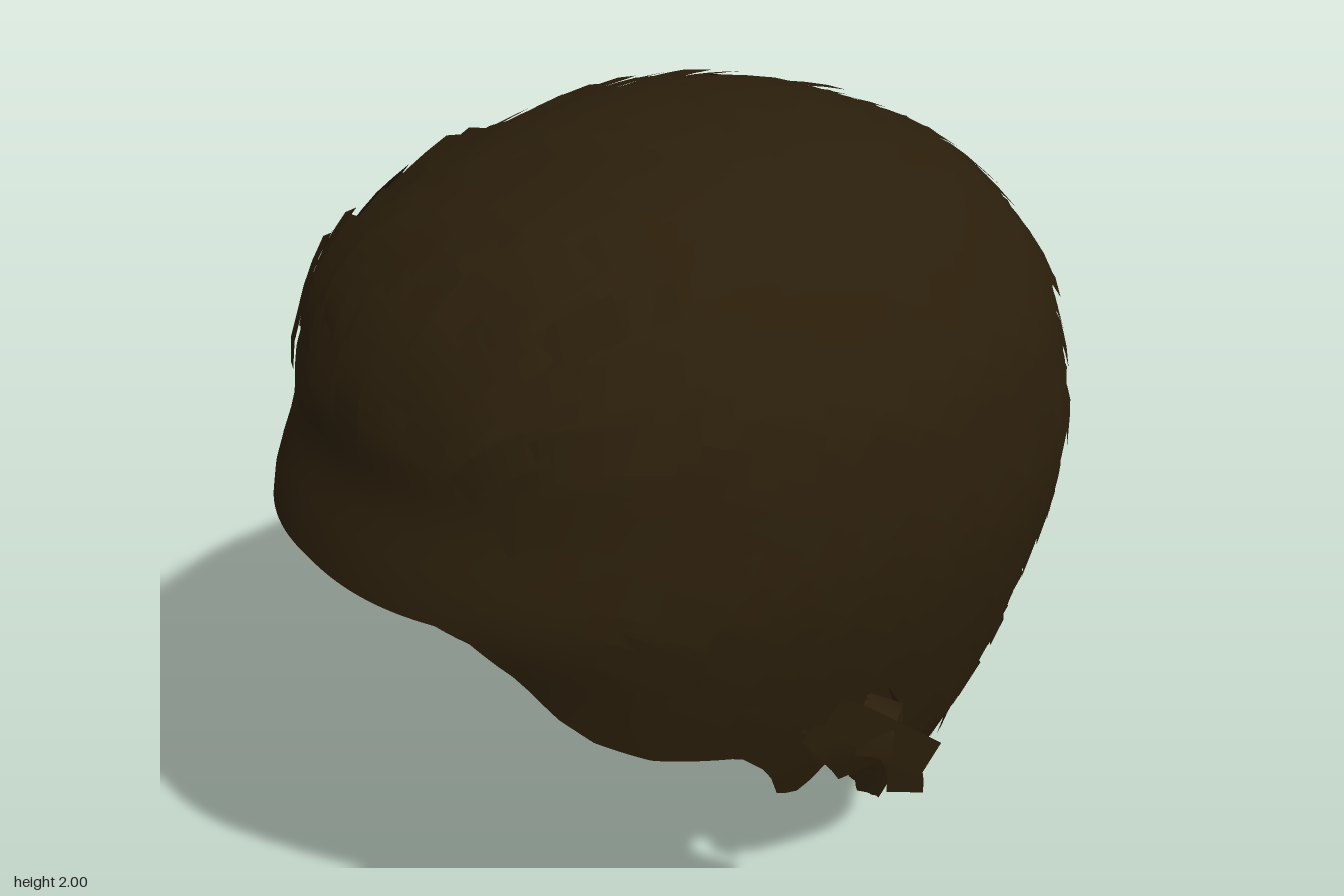
import * as THREE from 'three';
import { mergeGeometries } from 'three/addons/utils/BufferGeometryUtils.js';

const V = (x, y, z) => new THREE.Vector3(x, y, z);
const CENTRE = V(0, 1, 0);
// Squarer sections in front, plain ellipses behind
const power = z => (z > 0 ? 0.9 : 1);

// Horizontal sections of the cap: height, half width, front depth, back depth
const ROWS = [
  [0, 0.38, 0.85, 0.465], [0.2, 0.46, 0.87, 0.57], [0.4, 0.53, 0.89, 0.69], [0.6, 0.615, 0.9, 0.79],
  [0.8, 0.67, 0.91, 0.87], [1.0, 0.715, 0.93, 0.93], [1.2, 0.735, 0.985, 0.955], [1.4, 0.71, 0.915, 0.925],
  [1.55, 0.67, 0.895, 0.86], [1.7, 0.58, 0.82, 0.745], [1.8, 0.5, 0.71, 0.63], [1.88, 0.4, 0.56, 0.48],
  [1.94, 0.28, 0.37, 0.31], [1.97, 0.15, 0.2, 0.16], [1.98, 0, 0, 0],
];
// Lower edge of the cap and of the hair strands: angle from the front, height
const RIM = [[0, 1.21], [0.47, 1.2], [0.57, 1.17], [0.66, 1.09], [0.74, 0.98], [0.85, 0.9], [1.01, 0.83],
  [1.25, 0.78], [1.34, 0.7], [1.38, 0.61], [1.44, 0.58], [1.5, 0.63], [1.55, 0.78], [1.6, 0.78],
  [1.64, 0.52], [1.72, 0.42], [1.9, 0.32], [2.14, 0.2], [2.45, 0.09], [2.65, 0.045], [2.85, 0.018], [3.15, 0.005]];
const HAIRLINE = [[0, 1.5], [0.5, 1.46], [0.75, 1.26], [1.0, 1.04], [1.25, 0.92], [1.45, 0.85],
  [1.6, 0.8], [1.68, 0.52], [1.9, 0.42], [2.2, 0.32], [2.6, 0.23], [3.15, 0.2]];

function lookup(table, a) {
  let i = 1;
  while (i < table.length - 1 && table[i][0] < a) i++;
  const [p, q] = [table[i - 1], table[i]];
  const f = (a - p[0]) / (q[0] - p[0]);
  return p.map((v, j) => v + (q[j] - v) * f);
}

// Smooth the sections with splines
const curveA = new THREE.SplineCurve(ROWS.map(r => new THREE.Vector2(r[0], r[1])));
const curveB = new THREE.SplineCurve(ROWS.map(r => new THREE.Vector2(r[2], r[3])));
const section = t => {
  const a = curveA.getPoint(t), b = curveB.getPoint(t);
  return [a.x, a.y, b.x, b.y, t];
};
const FINE = Array.from({ length: 301 }, (_, i) => section(i / 300));

// Point on the cap at an angle from the front
function capPoint(angle, t) {
  const [y, w, front, back] = section(t);
  const s = Math.sin(angle), c = Math.cos(angle), e = power(c);
  return V(Math.sign(s) * w * Math.abs(s) ** e, y, Math.sign(c) * (c > 0 ? front : back) * Math.abs(c) ** e);
}

// Push a point onto the cap along the ray from its centre
function project(p, lift = 0) {
  const dir = p.clone().sub(CENTRE).normalize(), e = 2 / power(dir.z);
  let lo = 0.2, hi = 1.6;
  for (let i = 0; i < 18; i++) {
    const r = (lo + hi) / 2, y = 1 + dir.y * r;
    let inside = false;
    if (y > 0 && y < 1.98) {
      const [, w, f, b] = lookup(FINE, y);
      inside = Math.abs(dir.x * r / w) ** e + Math.abs(dir.z * r / (dir.z > 0 ? f : b)) ** e < 1;
    }
    if (inside) lo = r; else hi = r;
  }
  return dir.multiplyScalar(lo + lift).add(CENTRE);
}

function aboveHairline(p) {
  const [, w, f, b] = lookup(FINE, p.y), e = 1 / power(p.z);
  const x = Math.abs(p.x / w) ** e, z = Math.abs(p.z / (p.z > 0 ? f : b)) ** e;
  return p.y > lookup(HAIRLINE, Math.atan2(x, Math.sign(p.z) * z))[1];
}

function normalAt(p) {
  const out = p.clone().sub(CENTRE).normalize();
  const u = V(0, 1, 0).cross(out);
  if (u.length() < 0.01) return V(0, 1, 0);
  u.normalize();
  const v = out.clone().cross(u);
  const near = (d, e) => project(p.clone().addScaledVector(d, e));
  return near(u, 0.02).sub(near(u, -0.02)).cross(near(v, 0.02).sub(near(v, -0.02))).normalize();
}

// Combing direction: straight back over the middle, slanting down at the sides
function flowAt(n) {
  const slant = 2 * n.x * n.x;
  return V(0, n.z - 0.7 * slant, -n.y - slant).projectOnPlane(n).normalize();
}

// Surface through rows of points; loop joins the last column to the first
function gridSurface(rows, loop = false) {
  const n = rows[0].length, index = [];
  for (let j = 0; j < rows.length - 1; j++) {
    for (let i = 0; i < (loop ? n : n - 1); i++) {
      const a = j * n + i, b = j * n + (i + 1) % n;
      index.push(a, b, b + n, a, b + n, a + n);
    }
  }
  const g = new THREE.BufferGeometry().setFromPoints(rows.flat());
  g.setIndex(index);
  g.computeVertexNormals();
  return g;
}

function buildCap() {
  const SEG = 200, RINGS = 30, rows = [];
  for (let j = 0; j <= RINGS; j++) {
    rows.push(Array.from({ length: SEG }, (_, i) => {
      const angle = i / SEG * Math.PI * 2;
      const rimY = lookup(RIM, Math.min(angle, Math.PI * 2 - angle))[1];
      const t0 = lookup(FINE, rimY)[4];
      return capPoint(angle, t0 + (1 - t0) * j / RINGS);
    }));
  }
  return gridSurface(rows, true);
}

// Overlapping flat locks combed back over the cap
function buildLocks() {
  let seed = 7;
  const rand = () => (seed = (seed * 16807) % 2147483647) / 2147483647;
  const locks = [], COUNT = 1700, STEPS = 5;
  for (let i = 0; i < COUNT; i++) {
    const h = 1 - 2 * (i + 0.5) / COUNT, a = i * 2.39996 + rand() * 0.05, r = Math.sqrt(1 - h * h);
    let p = project(V(r * Math.sin(a), 1 + h, r * Math.cos(a)));
    // Locks stand off further over the forehead and at the nape
    const loose = (p.z > 0.55 && p.y > 1.5) || (p.z < -0.4 && p.y < 0.6) ? 0.02 : 0;
    const length = 0.2 + rand() * 0.15, width = 0.06 + rand() * 0.045, lift = 0.012 + rand() * (0.014 + loose);
    const rows = [];
    for (let s = 0; s <= STEPS && aboveHairline(p); s++) {
      const n = normalAt(p), flow = flowAt(n);
      const side = n.clone().cross(flow).multiplyScalar(width / 2);
      const rise = 0.004 + loose * rand() * 0.3 + lift * s / STEPS;
      rows.push([project(p.clone().sub(side), rise), project(p.clone().add(side), rise)]);
      p = project(p.addScaledVector(flow, length / STEPS));
    }
    if (rows.length > 2) locks.push(gridSurface(rows));
  }
  return mergeGeometries(locks);
}

// Loose bent locks around the ear: four path points and a width
const TUFTS = [
  [[0.66, 0.85, 0.17], [0.74, 0.84, 0.1], [0.79, 0.79, 0.03], [0.85, 0.75, -0.03], 0.1],
  [[0.7, 0.83, 0.06], [0.76, 0.79, 0.03], [0.8, 0.72, 0], [0.81, 0.65, 0], 0.08],
  [[0.66, 0.83, 0.14], [0.71, 0.79, 0.12], [0.73, 0.75, 0.09], [0.74, 0.7, 0.06], 0.13],
  [[0.66, 0.84, -0.06], [0.73, 0.86, 0], [0.76, 0.83, 0.05], [0.78, 0.76, 0.07], 0.08],
  [[0.65, 0.78, -0.08], [0.67, 0.74, -0.07], [0.67, 0.66, -0.06], [0.63, 0.58, -0.04], 0.06],
];

function buildTufts(sign) {
  return mergeGeometries(TUFTS.map(tuft => {
    const path = new THREE.CatmullRomCurve3(tuft.slice(0, 4).map(([x, y, z]) => V(x * sign, y, z)));
    const rows = path.getPoints(6).map((p, i) => {
      const facing = V(sign * 0.7, 0.2, 0.7);
      const side = path.getTangent(i / 6).cross(facing).normalize().multiplyScalar(tuft[4] / 2);
      return [p.clone().add(side), p.clone().sub(side)];
    });
    return gridSurface(rows);
  }));
}

export function createModel() {
  const group = new THREE.Group();
  group.name = 'shortHair';
  const brown = new THREE.MeshStandardMaterial({ color: 0x2a1e0b, side: THREE.DoubleSide });
  brown.name = 'dark brown hair';
  const add = (geometry, name) => {
    const mesh = new THREE.Mesh(geometry, brown);
    mesh.name = name;
    group.add(mesh);
  };
  add(buildCap(), 'scalpCap');
  add(buildLocks(), 'hairLocks');
  add(buildTufts(1), 'leftEarTuft');
  add(buildTufts(-1), 'rightEarTuft');
  return group;
}
